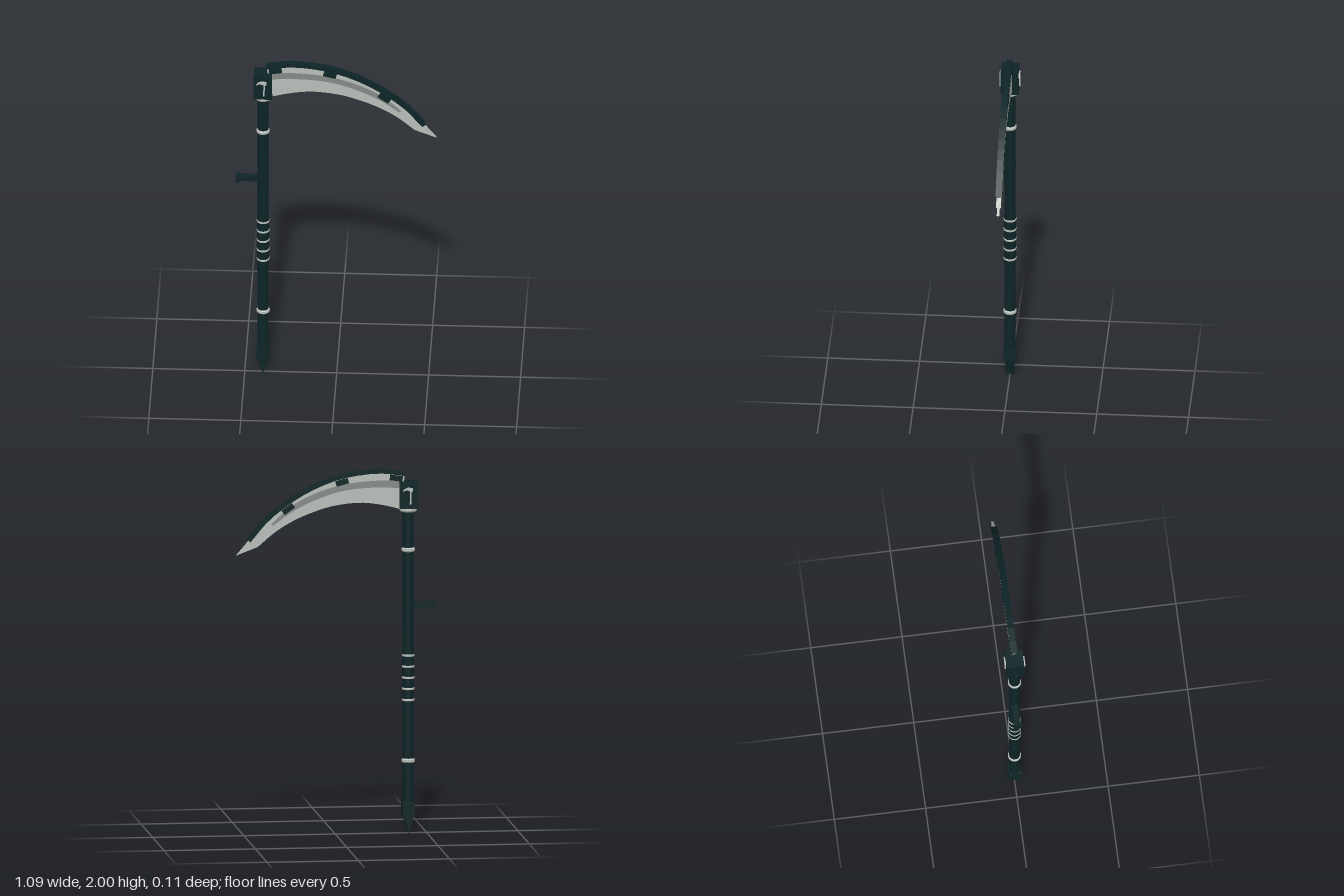
import * as THREE from 'three';
import { toCreasedNormals } from 'three/addons/utils/BufferGeometryUtils.js';

const dark = new THREE.MeshStandardMaterial({ color: 0x0d2426 });
dark.name = 'dark teal';
const silver = new THREE.MeshStandardMaterial({ color: 0xb9beba });
silver.name = 'silver';
const steel = new THREE.MeshStandardMaterial({ color: 0x858a87 });
steel.name = 'grey steel';

const POLE_X = -0.4;

export function createModel() {
  const group = new THREE.Group();

  const add = (name, geo, mat, x = 0, y = 0, z = 0) => {
    const mesh = new THREE.Mesh(geo, mat);
    mesh.name = name;
    mesh.position.set(x, y, z);
    group.add(mesh);
    return mesh;
  };
  const box = (name, w, h, d, mat, x, y, z = 0) =>
    add(name, new THREE.BoxGeometry(w, h, d), mat, x, y, z);

  // Round band with chamfered edges
  const band = (name, r, h, y, mat = silver) => {
    const c = h * 0.28, v = (a, b) => new THREE.Vector2(a, b);
    const geo = new THREE.LatheGeometry([
      v(0.02, -h / 2), v(r - c, -h / 2), v(r, -h / 2 + c),
      v(r, h / 2 - c), v(r - c, h / 2), v(0.02, h / 2),
    ], 20);
    add(name, toCreasedNormals(geo, 0.5), mat, POLE_X, y);
  };

  // Flat plate extruded evenly to both sides of z = 0
  const plate = (name, points, halfDepth, mat) => {
    const shape = new THREE.Shape(points.map(([x, y]) => new THREE.Vector2(x, y)));
    const geo = new THREE.ExtrudeGeometry(shape, { depth: halfDepth * 2, bevelEnabled: false });
    return add(name, geo, mat, 0, 0, -halfDepth);
  };

  const curve = (pts) => new THREE.CatmullRomCurve3(pts.map(([x, y]) => new THREE.Vector3(x, y, 0)));
  const sample = (c, n = 20) => c.getSpacedPoints(n).map((p) => [p.x, p.y]);

  // Pole, grip and bands
  add('pole', new THREE.CylinderGeometry(0.03, 0.03, 1.66, 16), dark, POLE_X, 0.95);
  add('grip', new THREE.CylinderGeometry(0.033, 0.033, 0.3, 16), dark, POLE_X, 0.853);
  for (let i = 0; i < 5; i++) band('gripRing', 0.035, 0.018, 0.732 + i * 0.061);
  band('lowerBand', 0.036, 0.027, 0.398);
  band('upperBand', 0.036, 0.027, 1.556);
  band('headCollar', 0.047, 0.026, 1.777);

  // Foot block and wedge spike
  box('footBlock', 0.068, 0.075, 0.068, dark, POLE_X, 0.138);
  plate('footSpike', [[POLE_X - 0.027, 0.105], [POLE_X - 0.024, 0.08], [POLE_X, 0],
    [POLE_X + 0.024, 0.08], [POLE_X + 0.027, 0.105]], 0.023, dark);

  // Side handle
  box('sideHandle', 0.12, 0.03, 0.032, dark, -0.476, 1.25);
  box('sideHandleCap', 0.022, 0.045, 0.045, dark, -0.538, 1.25);

  // Head block with a small hook ornament on front and back
  box('headBlock', 0.1, 0.147, 0.096, dark, POLE_X, 1.858);
  const hook = new THREE.Shape([[-0.036, 0.02], [-0.028, 0.033], [-0.008, 0.042], [0.02, 0.04],
    [0.02, 0.022], [0.012, 0.018], [0.01, -0.05], [0.002, -0.05], [0.004, 0.022],
    [-0.016, 0.028]].map(([x, y]) => new THREE.Vector2(x, y)));
  const hookGeo = new THREE.ExtrudeGeometry(hook, { depth: 0.009, bevelEnabled: false });
  for (const side of [1, -1]) {
    const m = add('headOrnament', hookGeo, silver, POLE_X, 1.86, side * 0.047);
    m.rotation.y = side > 0 ? 0 : Math.PI;
  }

  // Blade: thin cutting core, thicker body and a grey inlay band
  const spine = curve([[-0.38, 1.972], [-0.25, 1.987], [-0.12, 1.978], [0, 1.952],
    [0.14, 1.896], [0.27, 1.818], [0.38, 1.728], [0.472, 1.622]]);
  const edge = curve([[0.425, 1.585], [0.325, 1.668], [0.22, 1.73], [0.1, 1.778],
    [0.01, 1.803], [-0.135, 1.818], [-0.25, 1.805], [-0.36, 1.778]]);
  const top = sample(spine), bottom = sample(edge);
  plate('bladeEdge', [...top, [0.542, 1.54], ...bottom], 0.007, silver);
  plate('bladeBody', [...top, [0.51, 1.572], ...bottom.map(([x, y]) => [x, y + 0.02])], 0.013, silver);

  const bandTop = curve([[-0.36, 1.934], [-0.23, 1.938], [-0.045, 1.92], [0.125, 1.868],
    [0.245, 1.803], [0.352, 1.71]]);
  const bandLow = curve([[0.342, 1.7], [0.245, 1.77], [0.125, 1.832], [-0.045, 1.886],
    [-0.23, 1.901], [-0.36, 1.895]]);
  plate('bladeInlay', [...sample(bandTop), ...sample(bandLow)], 0.0145, steel);

  // Segmented spine guard following the back of the blade
  const segments = 15;
  const length = spine.getLength() / segments;
  const alongSpine = (mesh, t, inset) => {
    const p = spine.getPointAt(t), d = spine.getTangentAt(t);
    mesh.position.set(p.x + d.y * inset, p.y - d.x * inset, 0);
    mesh.rotation.z = Math.atan2(d.y, d.x);
  };
  for (let i = 0; i < segments; i++) {
    const m = box('spineGuard', length + 0.008, 0.021, 0.036, dark, 0, 0);
    alongSpine(m, (i + 0.5) / segments, 0);
  }

  // Clips holding the guard to the blade
  for (const t of [0.045, 0.365, 0.715]) {
    alongSpine(box('spineClip', 0.07, 0.03, 0.038, dark, 0, 0), t, 0.028);
  }
  return group;
}
